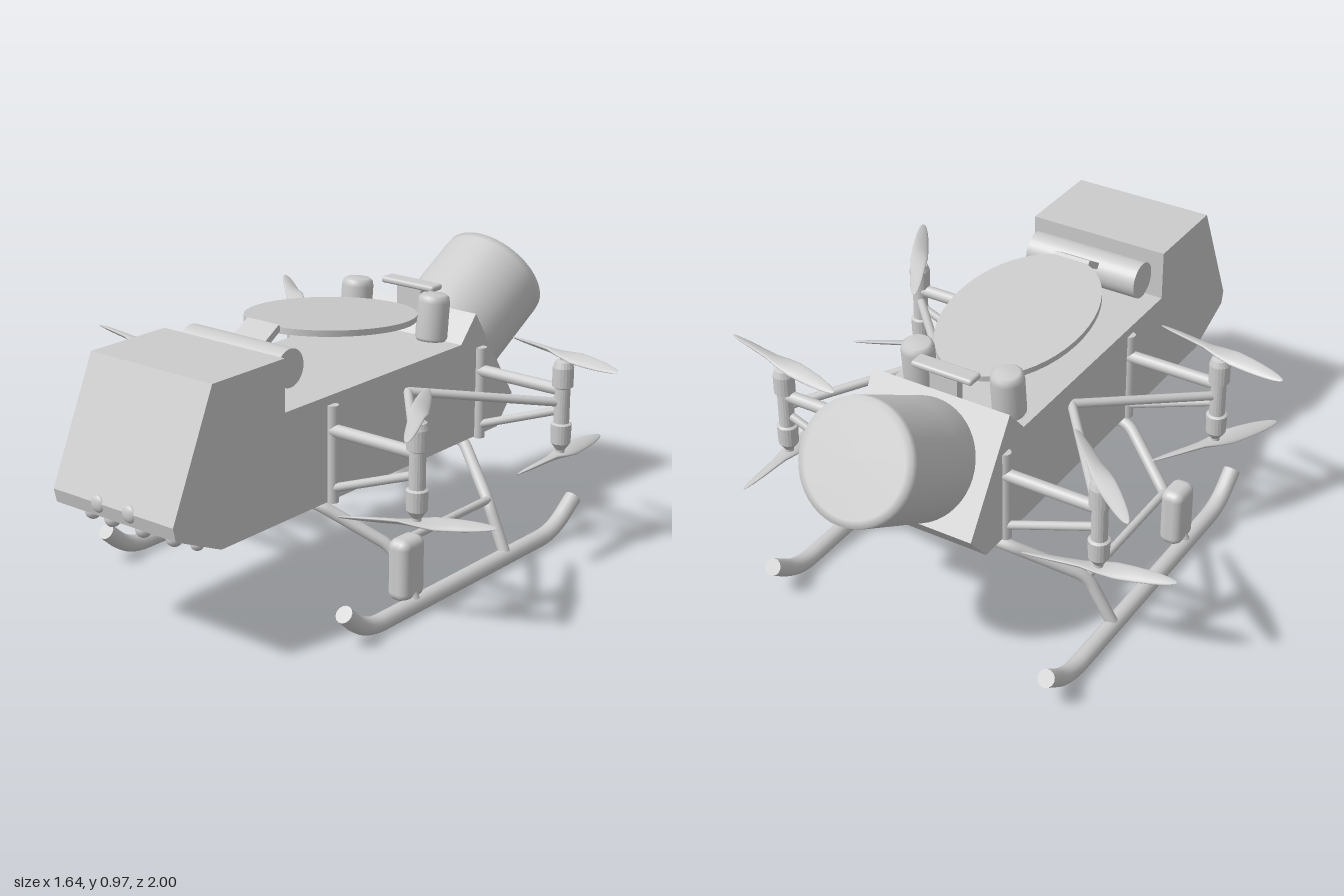
import * as THREE from 'three';
import { RoundedBoxGeometry } from 'three/addons/geometries/RoundedBoxGeometry.js';

const V = (x, y, z) => new THREE.Vector3(x, y, z);
const material = new THREE.MeshStandardMaterial({ color: 0xcccccc });

export function createModel() {
  const model = new THREE.Group();

  const add = (name, geometry, x = 0, y = 0, z = 0, parent = model) => {
    const mesh = new THREE.Mesh(geometry, material);
    mesh.name = name;
    mesh.position.set(x, y, z);
    parent.add(mesh);
    return mesh;
  };

  // Straight capped rod between two points
  const rod = (name, a, b, r, parent = model) => {
    const mesh = add(name, new THREE.CylinderGeometry(r, r, a.distanceTo(b), 14), 0, 0, 0, parent);
    mesh.position.copy(a).lerp(b, 0.5);
    mesh.quaternion.setFromUnitVectors(V(0, 1, 0), b.clone().sub(a).normalize());
    return mesh;
  };

  // Bent tube with rounded corners: short curves join the straight runs
  const bentTube = (name, pts, r, bend = 0.05) => {
    const path = new THREE.CurvePath();
    let from = pts[0];
    for (let i = 1; i < pts.length - 1; i++) {
      const p = pts[i];
      const near = p.clone().add(pts[i - 1].clone().sub(p).setLength(bend));
      const far = p.clone().add(pts[i + 1].clone().sub(p).setLength(bend));
      path.add(new THREE.LineCurve3(from, near));
      path.add(new THREE.QuadraticBezierCurve3(near, p, far));
      from = far;
    }
    path.add(new THREE.LineCurve3(from, pts[pts.length - 1]));
    add(name, new THREE.TubeGeometry(path, 90, r, 14));
    for (const [end, next] of [[pts[0], pts[1]], [pts[pts.length - 1], pts[pts.length - 2]]]) {
      const cap = add(name + 'Cap', new THREE.CircleGeometry(r, 14));
      cap.position.copy(end);
      cap.quaternion.setFromUnitVectors(V(0, 0, 1), end.clone().sub(next).normalize());
    }
  };

  // Fuselage: side outline (z, y) extruded across the width
  const outline = [[0.8, 0.37], [0.99, 0.455], [1, 0.5], [0.825, 0.89], [0.51, 0.89], [0.51, 0.72],
    [-0.38, 0.72], [-0.46, 0.81], [-0.685, 0.475], [-0.6, 0.375]];
  const hull = new THREE.ExtrudeGeometry(
    new THREE.Shape(outline.map(([z, y]) => new THREE.Vector2(-z, y))),
    { depth: 0.496, bevelEnabled: false });
  hull.rotateY(Math.PI / 2).translate(-0.252, 0, 0);
  add('fuselage', hull);

  // Tail pod: smooth canister tilted up and back
  const podProfile = [[0, -0.1], [0.13, -0.1], [0.175, -0.08], [0.195, -0.03], [0.195, 0.1],
    [0.195, 0.345], [0.193, 0.368], [0.17, 0.37], [0, 0.37]].map(([r, y]) => new THREE.Vector2(r, y));
  const pod = add('tailPod', new THREE.LatheGeometry(podProfile, 48), 0, 0.63, -0.583);
  pod.rotation.x = -Math.PI / 3;

  // Dish with its hinge roller and arm
  const dish = add('dish', new THREE.CylinderGeometry(1, 1, 0.02, 48), -0.015, 0.853, -0.02);
  dish.scale.set(0.235, 1, 0.34);
  dish.rotation.x = -0.115;
  const roller = add('hingeRoller', new THREE.CapsuleGeometry(0.062, 0.29, 6, 24), -0.018, 0.825, 0.42);
  roller.geometry = new THREE.CylinderGeometry(0.062, 0.062, 0.41, 28);
  roller.rotation.z = Math.PI / 2;
  const hingeArm = add('hingeArm', new THREE.BoxGeometry(0.13, 0.022, 0.14), -0.018, 0.865, 0.365);
  hingeArm.rotation.x = 0.55;

  // Canisters and T-shaped post behind the dish
  const canProfile = [[0, -0.08], [0.048, -0.08], [0.054, -0.07], [0.054, 0.05], [0.05, 0.068],
    [0.04, 0.076], [0, 0.078]].map(([r, y]) => new THREE.Vector2(r, y));
  for (const x of [-0.18, 0.145]) {
    const can = add('canister', new THREE.LatheGeometry(canProfile, 24), x, 0.808, -0.352);
    can.rotation.x = -0.1;
  }
  add('postBar', new RoundedBoxGeometry(0.22, 0.022, 0.06, 3, 0.01), -0.01, 0.877, -0.437);
  add('post', new THREE.BoxGeometry(0.1, 0.12, 0.03), -0.01, 0.815, -0.437);

  // Round sensors on the nose, its lower slope and the belly
  const sensors = [
    [-0.07, 0.495, 0.992, 0.028], [0.06, 0.495, 0.992, 0.028],
    [-0.18, 0.42, 0.91, 0.026], [-0.07, 0.43, 0.935, 0.026], [0.06, 0.43, 0.935, 0.026], [0.16, 0.42, 0.91, 0.026],
    [-0.18, 0.387, 0.84, 0.022], [0.185, 0.387, 0.84, 0.022],
    [0.05, 0.37, -0.42, 0.035], [0.14, 0.37, -0.45, 0.02], [-0.03, 0.37, -0.47, 0.02],
    [-0.1, 0.37, -0.5, 0.02], [-0.15, 0.37, -0.43, 0.02]];
  for (const [x, y, z, r] of sensors) add('sensor', new THREE.SphereGeometry(r, 16, 12), x, y, z).scale.set(1, y > 0.38 ? 1 : 0.45, y > 0.45 ? 0.5 : 1);

  // Twisted two-bladed propeller, lying along x
  const blades = () => {
    const g = new THREE.SphereGeometry(1, 32, 14).rotateZ(Math.PI / 2);
    const p = g.attributes.position;
    for (let i = 0; i < p.count; i++) {
      const t = p.getX(i);
      const pitch = 0.45 * Math.tanh(t * 6);
      const y = p.getY(i) * 0.009, z = p.getZ(i) * 0.03;
      p.setXYZ(i, t * 0.245, y * Math.cos(pitch) - z * Math.sin(pitch), y * Math.sin(pitch) + z * Math.cos(pitch));
    }
    g.computeVertexNormals();
    return g;
  };
  const motorProfile = [[0, -0.18], [0.015, -0.175], [0.015, -0.155], [0.033, -0.13], [0.035, -0.065],
    [0.026, -0.06], [0.026, 0.06], [0.035, 0.065], [0.035, 0.13], [0.028, 0.15], [0.012, 0.155],
    [0.012, 0.18], [0, 0.182]].map(([r, y]) => new THREE.Vector2(r, y));

  // Four rotor units: side, z, and direction (x, z) of the upper and lower blades
  const rotors = [
    [1, 0.295, [23, 40], [40, -22]], [-1, 0.295, [45, 9], [-25, 42]],
    [1, -0.485, [45, 10], [0, 1]], [-1, -0.485, [35, 32], [45, -11]]];
  for (const [side, z, up, low] of rotors) {
    const unit = new THREE.Group();
    unit.name = 'rotorUnit';
    model.add(unit);
    const x = side * 0.58;
    const motor = new THREE.LatheGeometry(motorProfile, 20).toNonIndexed();
    motor.computeVertexNormals();
    add('motor', motor, x, 0.557, z, unit);
    for (const [dir, y] of [[up, 0.73], [low, 0.385]]) {
      add('propeller', blades(), x, y, z, unit).rotation.y = -Math.atan2(dir[1], dir[0]);
    }
    // Mount post on the fuselage and the struts that carry the motor
    const root = side * 0.25;
    rod('mountPost', V(root, 0.37, z), V(root, 0.69, z), 0.02, unit);
    rod('upperArm', V(root, 0.608, z), V(x, 0.608, z), 0.021, unit);
    rod('lowerStrut', V(root, 0.415, z), V(x, 0.54, z), 0.014, unit);
    rod('braceStrut', V(root, 0.635, -0.085), V(x, 0.565, z), 0.015, unit);
  }

  // Landing gear, centred slightly to one side
  const cx = -0.04;
  for (const z of [1, -1]) {
    const top = z > 0 ? 0.29 : -0.49, knee = z > 0 ? 0.165 : -0.35, foot = z > 0 ? 0.16 : -0.335;
    const half = [[0.513, 0.05, foot], [0.43, 0.21, knee], [0.22, 0.345, top]];
    const pts = half.map(([x, y, zz]) => V(cx - x, y, zz));
    pts.push(...half.reverse().map(([x, y, zz]) => V(cx + x, y, zz)));
    bentTube('gearLeg', pts, 0.02, 0.04);
  }
  for (const s of [-1, 1]) {
    const x = cx + s * 0.513;
    bentTube('skid', [V(x, 0.125, 0.51), V(x, 0.035, 0.41), V(x, 0.035, -0.62), V(x, 0.125, -0.745)], 0.029, 0.08);
    rod('gearRail', V(cx + s * 0.43, 0.215, 0.165), V(cx + s * 0.43, 0.215, -0.35), 0.014);
    // Box on the front leg, its top sloping outward
    const box = new RoundedBoxGeometry(0.08, 0.21, 0.115, 4, 0.03);
    add('gearBox', box, cx + s * 0.48, 0.155, 0.16);
  }

  return model;
}
